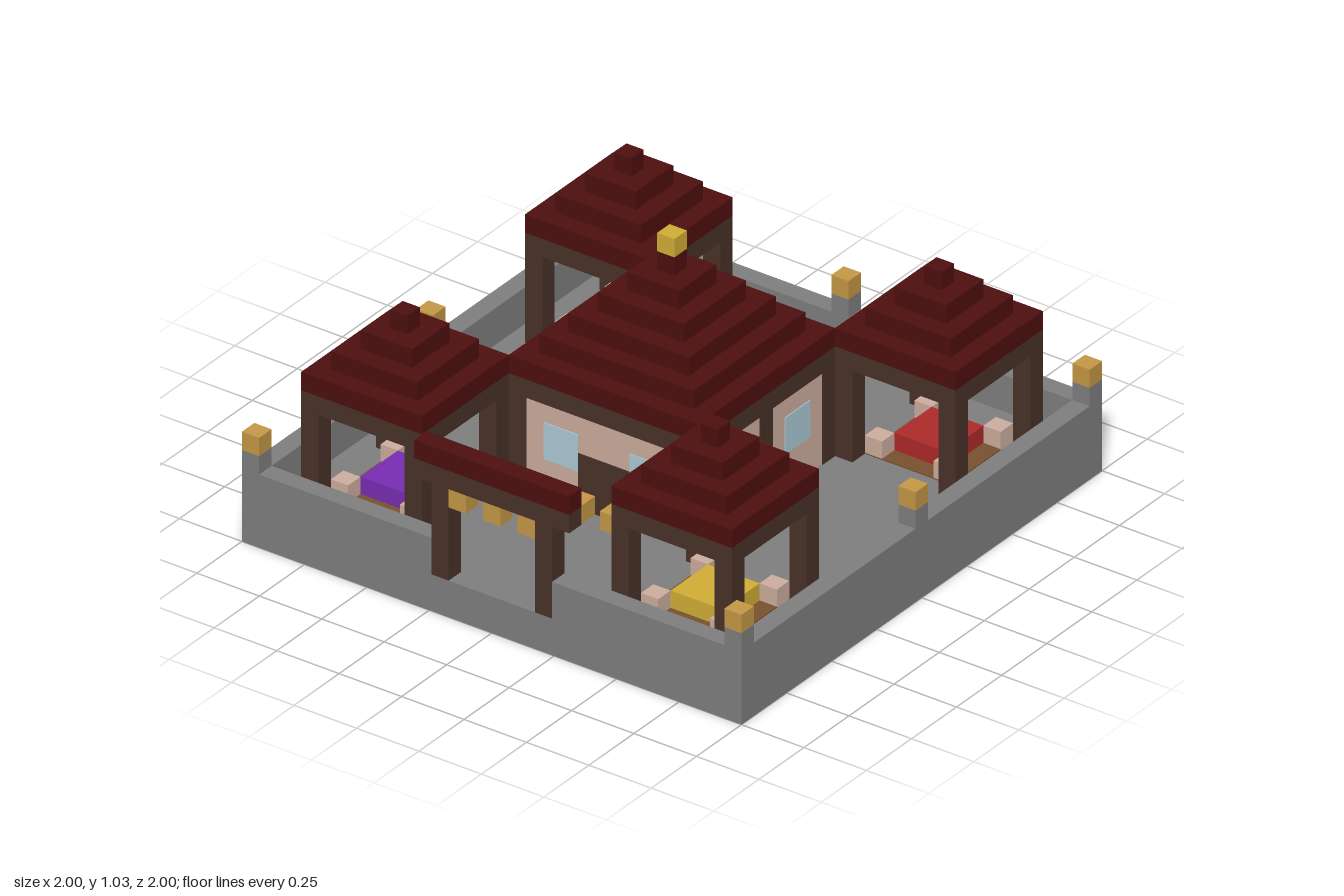
import * as THREE from 'three';

const U = 2 / 29; // one building block

function material(name, color) {
  const m = new THREE.MeshStandardMaterial({ color });
  m.name = name;
  return m;
}

export function createModel() {
  const stone = material('grey stone', 0x808080);
  const tile = material('dark red tile', 0x4f0f0f);
  const timber = material('dark timber', 0x4a3228);
  const plaster = material('pale plaster', 0xd0b0a0);
  const glass = material('pale blue glass', 0xafcdd8);
  const lamp = material('amber lamp', 0xc89a48);
  const gold = material('gold', 0xd4af37);
  const purple = material('purple cloth', 0x7a2db5);
  const red = material('red cloth', 0xb02a2a);
  const wood = material('wood floor', 0x7a5230);

  const model = new THREE.Group();
  model.name = 'walledCourtyard';

  // Box centred on x and z, from y0 to y1, all in blocks
  function block(parent, name, mat, x, z, y0, y1, w, d = w) {
    const mesh = new THREE.Mesh(new THREE.BoxGeometry(w * U, (y1 - y0) * U, d * U), mat);
    mesh.position.set(x * U, ((y0 + y1) / 2) * U, z * U);
    mesh.name = name;
    parent.add(mesh);
    return mesh;
  }

  function group(name, parent = model) {
    const g = new THREE.Group();
    g.name = name;
    parent.add(g);
    return g;
  }

  // Stepped pyramid roof, each layer one block smaller all round
  function steppedRoof(parent, width) {
    for (let w = width, y = 8; w > 0; w -= 2, y++) block(parent, 'roofStep', tile, 0, 0, y, y + 1, w);
  }

  // Corner posts with a ring beam on top
  function frame(parent, width) {
    const r = (width - 1) / 2;
    for (const s of [-1, 1]) {
      for (const t of [-1, 1]) block(parent, 'cornerPost', timber, s * r, t * r, 2, 7, 1);
      block(parent, 'beam', timber, 0, s * r, 7, 8, width, 1);
      block(parent, 'beam', timber, s * r, 0, 7, 8, 1, width - 2);
    }
  }

  // Raised base and surrounding wall, open at the front gate
  const yard = group('yard');
  block(yard, 'base', stone, 0, 0, 0, 2, 29);
  block(yard, 'backWall', stone, 0, -14, 2, 4, 29, 1);
  for (const s of [-1, 1]) {
    block(yard, 'sideWall', stone, s * 14, 0, 2, 4, 1, 27);
    block(yard, 'frontWall', stone, s * 9, 14, 2, 4, 11, 1);
  }

  // Lamps on the wall
  for (const [x, z] of [[-14, -14], [0, -14], [14, -14], [-14, 0], [14, 0], [-14, 14], [14, 14]]) {
    block(yard, 'lampPost', stone, x, z, 4, 5, 1);
    block(yard, 'wallLamp', lamp, x, z, 5, 6, 1);
  }

  // Front gate with hanging lamps
  const gate = group('gate');
  for (const s of [-1, 1]) block(gate, 'gatePost', timber, s * 3, 14, 2, 7, 1);
  block(gate, 'gateBeam', timber, 0, 14, 7, 8, 9, 1);
  block(gate, 'gateRoof', tile, 0, 14, 8, 9, 9, 1);
  for (const x of [-2, 0, 2]) block(gate, 'gateLamp', lamp, x, 14, 6, 7, 1);

  // Main hall
  const hall = group('hall');
  block(hall, 'hallWalls', plaster, 0, 0, 2, 7, 10.9);
  frame(hall, 11);
  steppedRoof(hall, 11);
  block(hall, 'finial', gold, 0, 0, 14, 15, 1);

  // Four hall faces: two windows each, a door in front, a middle post elsewhere
  for (let i = 0; i < 4; i++) {
    const face = group('hallFace', hall);
    face.rotation.y = (i * Math.PI) / 2;
    for (const s of [-1, 1]) block(face, 'window', glass, s * 2.5, 5.47, 4, 6, 2, 0.06);
    if (i === 0) block(face, 'door', timber, 0, 5.47, 2, 5, 3, 0.06);
    else block(face, 'middlePost', timber, 0, 5.47, 2, 7, 1, 0.06);
  }
  for (const x of [-1, 1]) block(hall, 'doorLamp', lamp, x, 6, 2, 3, 1);

  // Corner pavilions, each with its own table colour
  for (const [sx, sz, cloth] of [[1, 1, gold], [-1, 1, purple], [1, -1, red], [-1, -1, lamp]]) {
    const pavilion = group('pavilion');
    pavilion.position.set(sx * 9 * U, 0, sz * 9 * U);
    frame(pavilion, 7);
    steppedRoof(pavilion, 7);
    block(pavilion, 'lampHanger', timber, 0, 0, 7, 8, 1);
    block(pavilion, 'hangingLamp', lamp, 0, 0, 6, 7, 1);
    block(pavilion, 'floorMat', wood, 0, 0, 2, 2.06, 5);
    block(pavilion, 'table', cloth, 0, 0, 2, 3, 3);
    for (const x of [-2, 2]) for (const z of [-2, 2]) block(pavilion, 'seat', plaster, x, z, 2, 3, 1);
  }

  return model;
}
